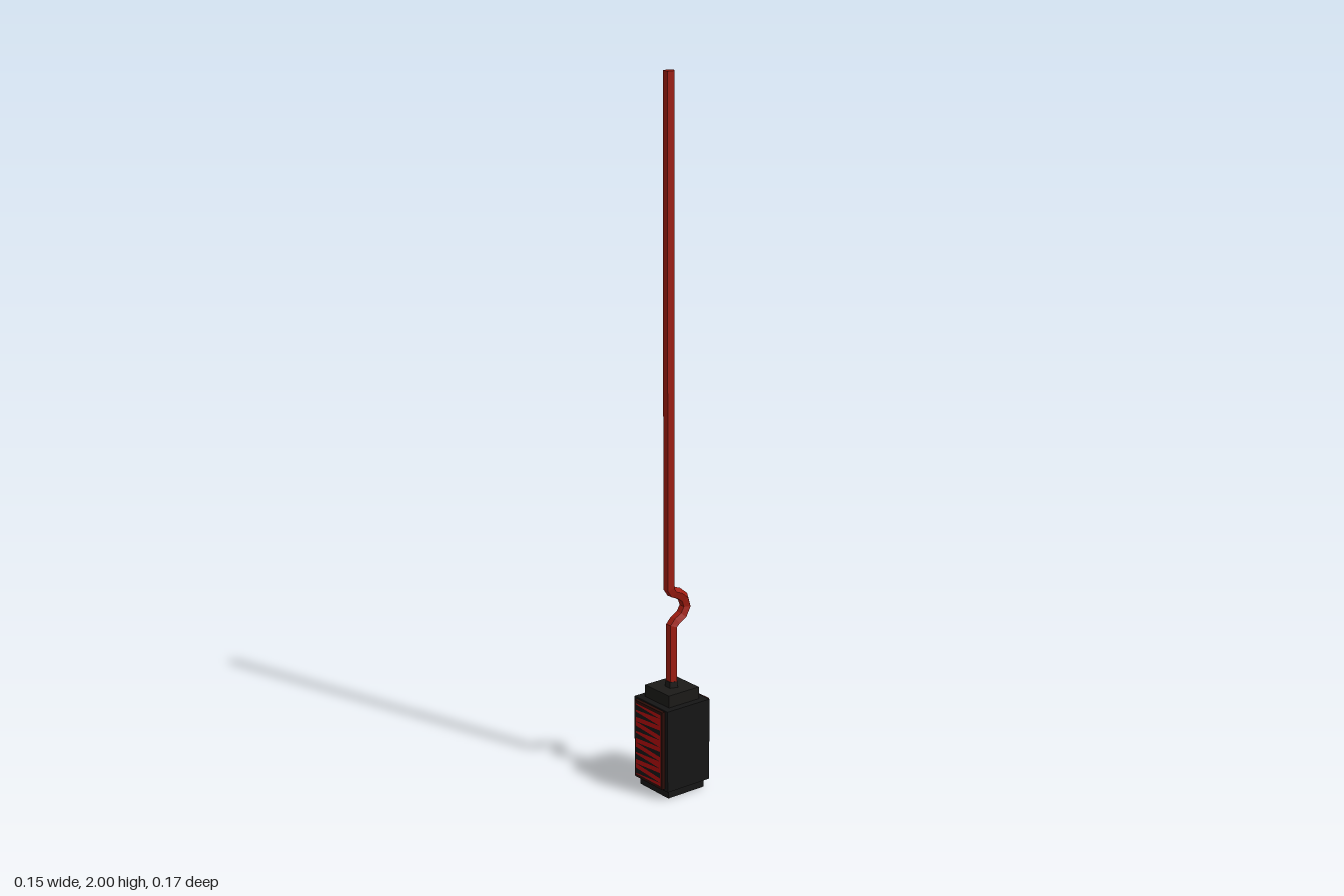
import * as THREE from 'three';

const mat = (color) => new THREE.MeshStandardMaterial({ color, flatShading: true });

// Five-sided rod swept through [y, z] points with mitred joints
function sweepRod(path, radius, sides = 5) {
  const pts = path.map(([y, z]) => new THREE.Vector3(0, y, z));
  const X = new THREE.Vector3(1, 0, 0);
  const pos = [], index = [];
  pts.forEach((p, i) => {
    const before = p.clone().sub(pts[Math.max(i - 1, 0)]).normalize();
    const after = pts[Math.min(i + 1, pts.length - 1)].clone().sub(p).normalize();
    const tangent = before.add(after).normalize();
    const out = new THREE.Vector3().crossVectors(X, tangent); // +z on an upright stretch
    for (let k = 0; k < sides; k++) {
      const a = Math.PI + (k / sides) * Math.PI * 2; // one ridge faces the back
      const v = p.clone().addScaledVector(X, radius * Math.sin(a)).addScaledVector(out, radius * Math.cos(a));
      pos.push(v.x, v.y, v.z);
    }
  });
  for (let i = 0; i < pts.length - 1; i++) {
    for (let k = 0; k < sides; k++) {
      const a = i * sides + k, b = i * sides + (k + 1) % sides;
      index.push(a, b, b + sides, a, b + sides, a + sides);
    }
  }
  const top = (pts.length - 1) * sides;
  for (let k = 1; k < sides - 1; k++) {
    index.push(0, k + 1, k, top, top + k, top + k + 1);
  }
  const geo = new THREE.BufferGeometry();
  geo.setAttribute('position', new THREE.Float32BufferAttribute(pos, 3));
  geo.setIndex(index);
  const flat = geo.toNonIndexed();
  flat.computeVertexNormals();
  return flat;
}

export function createModel() {
  const group = new THREE.Group();
  const black = mat(0x151515), dark = mat(0x1b1a18), frame = mat(0x2a0d08);
  const rodRed = mat(0xa01c10), glow = mat(0xb00c0c);

  const add = (name, geo, material, parent = group) => {
    const mesh = new THREE.Mesh(geo, material);
    mesh.name = name;
    parent.add(mesh);
    return mesh;
  };
  // Box between two heights
  const block = (name, w, d, y0, y1, material) => {
    add(name, new THREE.BoxGeometry(w, y1 - y0, d), material).position.y = (y0 + y1) / 2;
  };

  // Housing
  block('base', 0.126, 0.126, 0, 0.03, black);
  block('housing', 0.148, 0.148, 0.025, 0.265, black);
  block('topCap', 0.106, 0.106, 0.265, 0.3, dark);
  const collar = add('collar', new THREE.CylinderGeometry(0.018, 0.02, 0.02, 5), dark);
  collar.position.y = 0.307;
  collar.rotation.y = Math.PI;

  // Front and back panels with tapering dark louvres over a red sheet
  const bottom = 0.04, height = 0.212, rows = 10, half = 0.055;
  for (const [name, turn] of [['frontPanel', 0], ['backPanel', Math.PI]]) {
    const panel = new THREE.Group();
    panel.name = name;
    panel.rotation.y = turn;
    group.add(panel);
    add('panelFrame', new THREE.BoxGeometry(0.122, 0.23, 0.014), frame, panel).position.set(0, 0.146, 0.077);
    add('redSheet', new THREE.PlaneGeometry(half * 2, height), glow, panel).position.set(0, bottom + height / 2, 0.0845);
    for (let i = 0; i < rows; i++) {
      const pitch = height / rows, y = bottom + (i + 0.5) * pitch;
      const left = i % 3 !== 1; // most wedges open on the left
      const s = left ? -1 : 1, h = pitch * 0.38;
      const wedge = new THREE.Shape([
        new THREE.Vector2(s * half, y - h),
        new THREE.Vector2(-s * half, y),
        new THREE.Vector2(s * half, y + h),
      ]);
      add('louvre', new THREE.ShapeGeometry(wedge), black, panel).position.z = 0.0855;
    }
  }

  // Rod with the kink above the housing
  const path = [
    [0.29, 0], [0.478, 0], [0.49, -0.012], [0.502, -0.034], [0.527, -0.048],
    [0.552, -0.04], [0.568, -0.02], [0.576, 0], [0.59, 0.009], [2, 0.009],
  ];
  add('rod', sweepRod(path, 0.0165), rodRed);
  return group;
}
